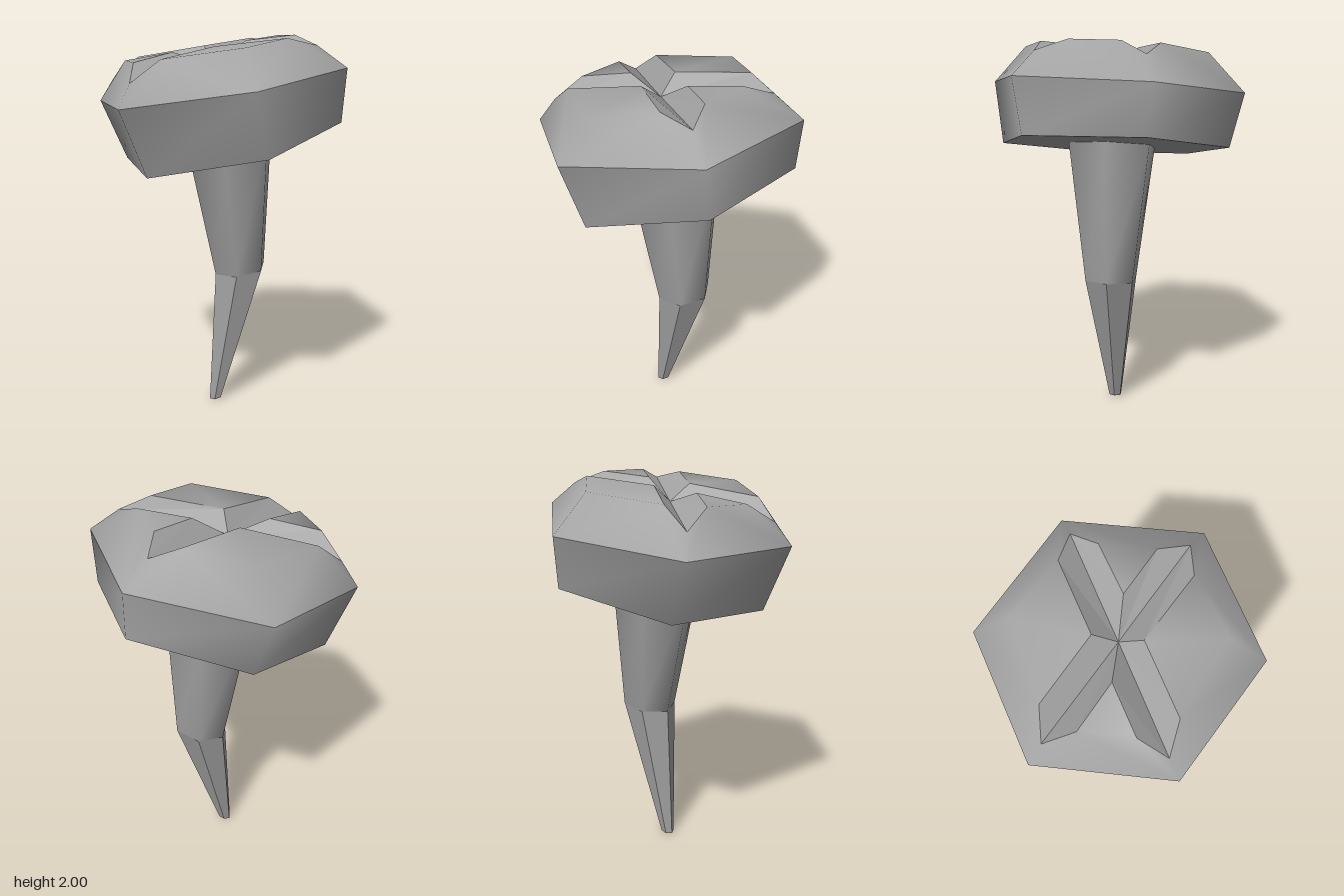
import * as THREE from 'three';

// Indexed polygons (counter-clockwise from outside) to a smooth or flat geometry
function polyGeometry(points, faces, smooth) {
  const index = [];
  for (const f of faces) {
    for (let i = 1; i < f.length - 1; i++) index.push(f[0], f[i], f[i + 1]);
  }
  let geo = new THREE.BufferGeometry();
  geo.setAttribute('position', new THREE.Float32BufferAttribute(points.flat(), 3));
  geo.setIndex(index);
  if (!smooth) geo = geo.toNonIndexed();
  geo.computeVertexNormals();
  return geo;
}

// Side wall between two rings of equal count
function wall(lower, upper, smooth) {
  const n = lower.length;
  const faces = lower.map((_, i) => [i, (i + 1) % n, n + (i + 1) % n, n + i]);
  return polyGeometry([...lower, ...upper], faces, smooth);
}

// Downward-facing cap of a ring
const capBelow = (ring) => polyGeometry(ring, [ring.map((_, i) => ring.length - 1 - i)], false);

// Tilted hexagon, slope is the rise per unit of x
function hexRing(cx, cy, r, slope) {
  return Array.from({ length: 6 }, (_, i) => {
    const a = (i * Math.PI) / 3;
    const dx = r * Math.cos(a);
    return [cx + dx, cy + dx * slope, -r * Math.sin(a)];
  });
}

export function createModel() {
  const model = new THREE.Group();
  const steel = new THREE.MeshStandardMaterial({ color: 0xa3a3a3 });
  steel.name = 'steelGrey';
  const add = (name, geo) => {
    const mesh = new THREE.Mesh(geo, steel);
    mesh.name = name;
    model.add(mesh);
  };

  // Head side and underside
  const rim = [
    [-0.07, 1.76, 0.66], [0.53, 1.842, 0.39], [0.6, 1.83, -0.27],
    [0.07, 1.735, -0.66], [-0.53, 1.655, -0.39], [-0.6, 1.665, 0.27],
  ];
  const base = [
    [0.015, 1.445, 0.6], [0.53, 1.57, 0.35], [0.595, 1.585, -0.245],
    [0.13, 1.472, -0.595], [-0.4, 1.342, -0.35], [-0.46, 1.33, 0.24],
  ];
  add('headSide', wall(base, rim, true));
  add('headUnderside', capBelow(base));

  // Inner ring of the dome, notched by the four slot ends
  const ring = [
    [-0.05, 1.945, 0.48],
    [0.23, 1.985, 0.325], [0.4, 1.95, 0.315], [0.35, 2, 0.165],
    [0.375, 1.997, -0.09], [0.46, 1.94, -0.22], [0.3, 1.983, -0.265],
    [0.05, 1.928, -0.475],
    [-0.33, 1.885, -0.33], [-0.47, 1.775, -0.325], [-0.445, 1.872, -0.17],
    [-0.47, 1.87, 0.08], [-0.53, 1.78, 0.22], [-0.39, 1.89, 0.26],
  ];
  // Corners between the slots, then the slot centre
  const corners = [
    [-0.06, 1.945, 0.11], [0.145, 1.972, 0.02],
    [-0.035, 1.945, -0.115], [-0.24, 1.915, -0.025],
  ];
  const points = [...rim, ...ring, ...corners, [-0.03, 1.86, 0]];
  const R = (i) => 6 + (i % 14);
  const [S, E, N, W, centre] = [20, 21, 22, 23, 24];

  // Dome: sloping band from rim to ring, then the four top panels
  const owner = [0, 1, 1, 2, 2, 2, 3, 3, 4, 4, 5, 5, 5, 0];
  const dome = [];
  owner.forEach((o, i) => {
    const previous = owner[(i + 13) % 14];
    if (previous !== o) dome.push([previous, o, R(i)]);
    dome.push([o, R(i + 1), R(i)]);
  });
  dome.push([R(0), R(1), S, R(13)], [R(3), R(4), E]);
  dome.push([R(7), R(8), N, R(6)], [R(10), R(11), W]);
  add('headDome', polyGeometry(points, dome, true));

  // Cross slot: two slanting walls per arm
  const slots = [];
  for (const [first, p, q] of [[1, S, E], [4, E, N], [8, N, W], [11, W, S]]) {
    slots.push([p, R(first), R(first + 1), centre]);
    slots.push([centre, R(first + 1), R(first + 2), q]);
  }
  add('crossSlot', polyGeometry(points, slots, false));

  // Bent shaft: smooth upper part, faceted tapering point
  const top = hexRing(0.07, 1.46, 0.236, 0.235);
  const bend = hexRing(0.128, 0.75, 0.143, 0.14);
  const tip = hexRing(-0.015, 0.007, 0.035, 0.2);
  add('upperShaft', wall(bend, top, true));
  add('taperedPoint', wall(tip, bend, false));
  add('pointEnd', capBelow(tip));

  return model;
}
